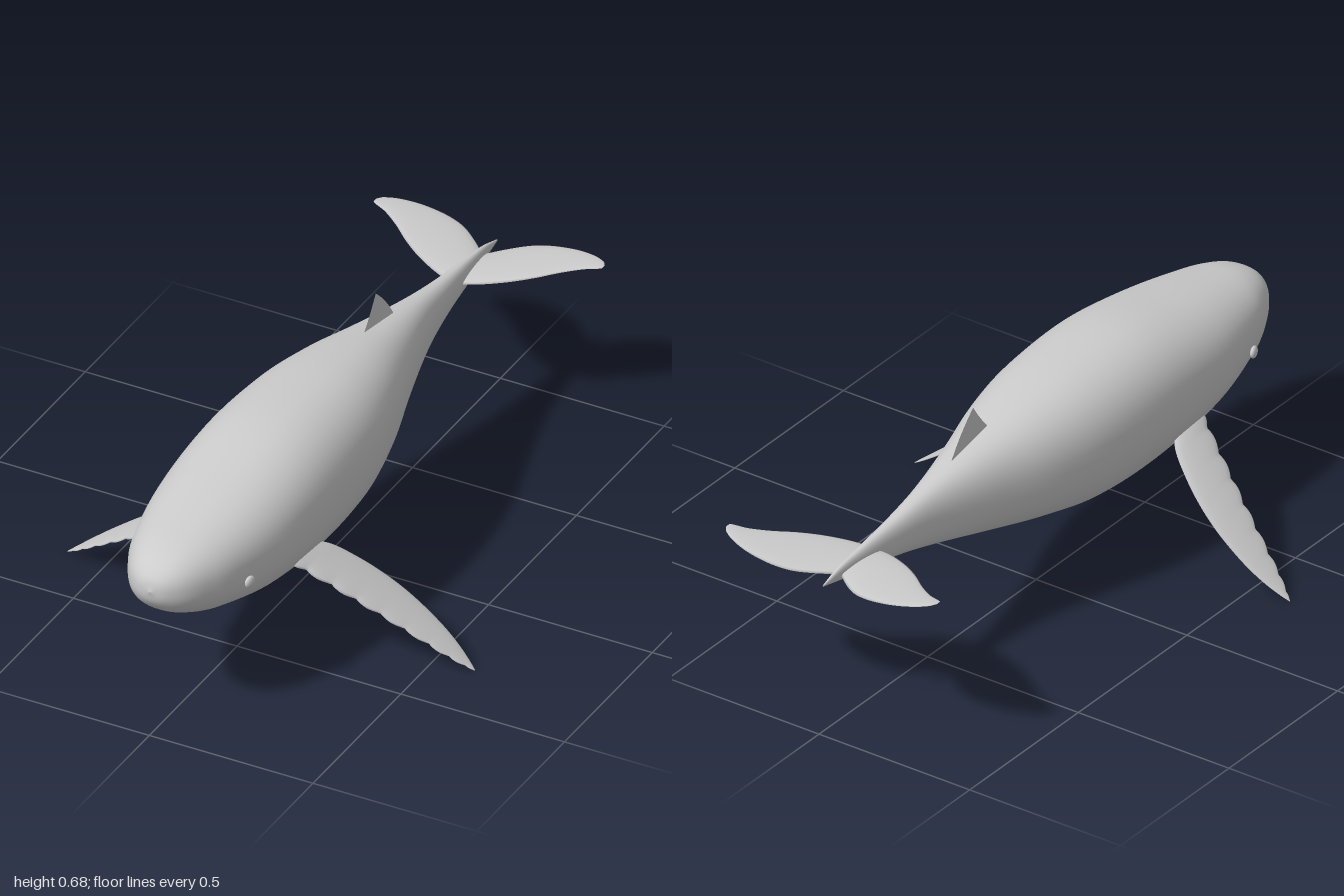
import * as THREE from 'three';

const grey = new THREE.MeshStandardMaterial({ color: 0xcccccc, side: THREE.DoubleSide });

function addMesh(parent, name, geometry) {
  const mesh = new THREE.Mesh(geometry, grey);
  mesh.name = name;
  parent.add(mesh);
  return mesh;
}

// Smooth skin over a list of closed rings with equal point counts
function loft(rings) {
  const n = rings[0].length;
  const index = [];
  for (let i = 0; i < rings.length - 1; i++) {
    for (let j = 0; j < n; j++) {
      const k = (j + 1) % n;
      const a = i * n + j, b = i * n + k, c = a + n, d = b + n;
      index.push(a, c, b, b, c, d);
    }
  }
  const geometry = new THREE.BufferGeometry();
  geometry.setAttribute('position', new THREE.Float32BufferAttribute(rings.flat(2), 3));
  geometry.setIndex(index);
  geometry.computeVertexNormals();
  return geometry;
}

// Rounded-square section so the flanks are fuller than an ellipse
const soft = (v, p) => Math.sign(v) * Math.abs(v) ** p;

function bodyGeometry() {
  // z, top, bottom, half width
  const stations = [
    [0.997, 0.462, 0.458, 0.002], [0.985, 0.498, 0.42, 0.045], [0.95, 0.53, 0.38, 0.088],
    [0.89, 0.554, 0.345, 0.125], [0.8, 0.573, 0.311, 0.16], [0.6, 0.609, 0.259, 0.202],
    [0.35, 0.645, 0.226, 0.215], [0.1, 0.64, 0.228, 0.205], [-0.1, 0.617, 0.262, 0.168],
    [-0.3, 0.58, 0.308, 0.108], [-0.5, 0.543, 0.36, 0.056], [-0.65, 0.517, 0.397, 0.033],
    [-0.8, 0.498, 0.422, 0.018], [-0.9, 0.484, 0.44, 0.01], [-0.98, 0.46, 0.456, 0.002],
  ];
  const heights = new THREE.CatmullRomCurve3(
    stations.map(([z, t, b]) => new THREE.Vector3(z, t, b)), false, 'catmullrom');
  const widths = new THREE.CatmullRomCurve3(
    stations.map(([z, , , w]) => new THREE.Vector3(z, w, 0)), false, 'catmullrom');
  const rings = [];
  const steps = 84, sides = 48;
  for (let i = 0; i <= steps; i++) {
    const { x: z, y: top, z: bottom } = heights.getPoint(i / steps);
    const w = widths.getPoint(i / steps).y;
    const ring = [];
    for (let j = 0; j < sides; j++) {
      const a = (j / sides) * Math.PI * 2;
      ring.push([
        w * soft(Math.cos(a), 0.86),
        (top + bottom) / 2 + ((top - bottom) / 2) * soft(Math.sin(a), 0.86),
        z,
      ]);
    }
    rings.push(ring);
  }
  return loft(rings);
}

// Lens-section blade; stations are [x, leading z, trailing z], slope is dy/dx
function bladeGeometry(side, stations, { y0, slope, thickness, bumps = 0 }) {
  const curve = new THREE.CatmullRomCurve3(
    stations.map((s) => new THREE.Vector3(...s)), false, 'catmullrom');
  const normal = new THREE.Vector2(-slope, 1).normalize();
  const rings = [];
  const steps = 72, sides = 16;
  for (let i = 0; i <= steps; i++) {
    const t = i / steps;
    const p = curve.getPoint(t);
    const wave = bumps ? 0.011 * (Math.abs(Math.sin(t * Math.PI * bumps)) - 0.5) * (1 - t ** 4) : 0;
    const lead = p.y + wave, trail = p.z;
    const half = thickness * (1 - 0.88 * t) / 2;
    const ring = [];
    for (let j = 0; j < sides; j++) {
      const a = side * (j / sides) * Math.PI * 2;
      const h = half * Math.sin(a);
      ring.push([
        side * (p.x + normal.x * h),
        y0 + slope * p.x + normal.y * h,
        (lead + trail) / 2 + ((lead - trail) / 2) * Math.cos(a),
      ]);
    }
    rings.push(ring);
  }
  return loft(rings);
}

function dorsalGeometry() {
  // Drawn with shape x = -z, then turned into the centre plane
  const shape = new THREE.Shape();
  shape.moveTo(0.2, 0.57);
  shape.lineTo(0.23, 0.6);
  shape.quadraticCurveTo(0.262, 0.637, 0.29, 0.682);
  shape.quadraticCurveTo(0.35, 0.63, 0.395, 0.555);
  shape.lineTo(0.36, 0.53);
  return new THREE.ShapeGeometry(shape, 10).rotateY(Math.PI / 2);
}

export function createModel() {
  const whale = new THREE.Group();
  whale.name = 'whale';
  addMesh(whale, 'body', bodyGeometry());
  addMesh(whale, 'dorsalFin', dorsalGeometry());

  const flipper = [
    [0.17, 0.525, 0.4], [0.21, 0.502, 0.35], [0.27, 0.472, 0.313], [0.33, 0.444, 0.287],
    [0.39, 0.416, 0.271], [0.45, 0.39, 0.265], [0.51, 0.364, 0.267],
    [0.56, 0.342, 0.277], [0.6, 0.32, 0.292], [0.622, 0.306, 0.304],
  ];
  const fluke = [
    [0, -0.738, -0.9], [0.05, -0.748, -0.945], [0.1, -0.768, -0.98], [0.15, -0.795, -0.996],
    [0.2, -0.83, -1], [0.25, -0.872, -0.996], [0.3, -0.906, -0.982],
    [0.335, -0.92, -0.962], [0.348, -0.926, -0.945],
  ];
  for (const [label, side] of [['left', 1], ['right', -1]]) {
    addMesh(whale, label + 'Flipper',
      bladeGeometry(side, flipper, { y0: 0.466, slope: -0.743, thickness: 0.024, bumps: 9 }));
    addMesh(whale, label + 'Fluke',
      bladeGeometry(side, fluke, { y0: 0.456, slope: 0.14, thickness: 0.024 }));
    // Small flattened eye set into the flank
    const eye = addMesh(whale, label + 'Eye', new THREE.SphereGeometry(0.018, 20, 14));
    eye.scale.x = 0.5;
    eye.position.set(side * 0.177, 0.411, 0.757);
    eye.rotation.y = -side * 0.25;
  }
  return whale;
}
